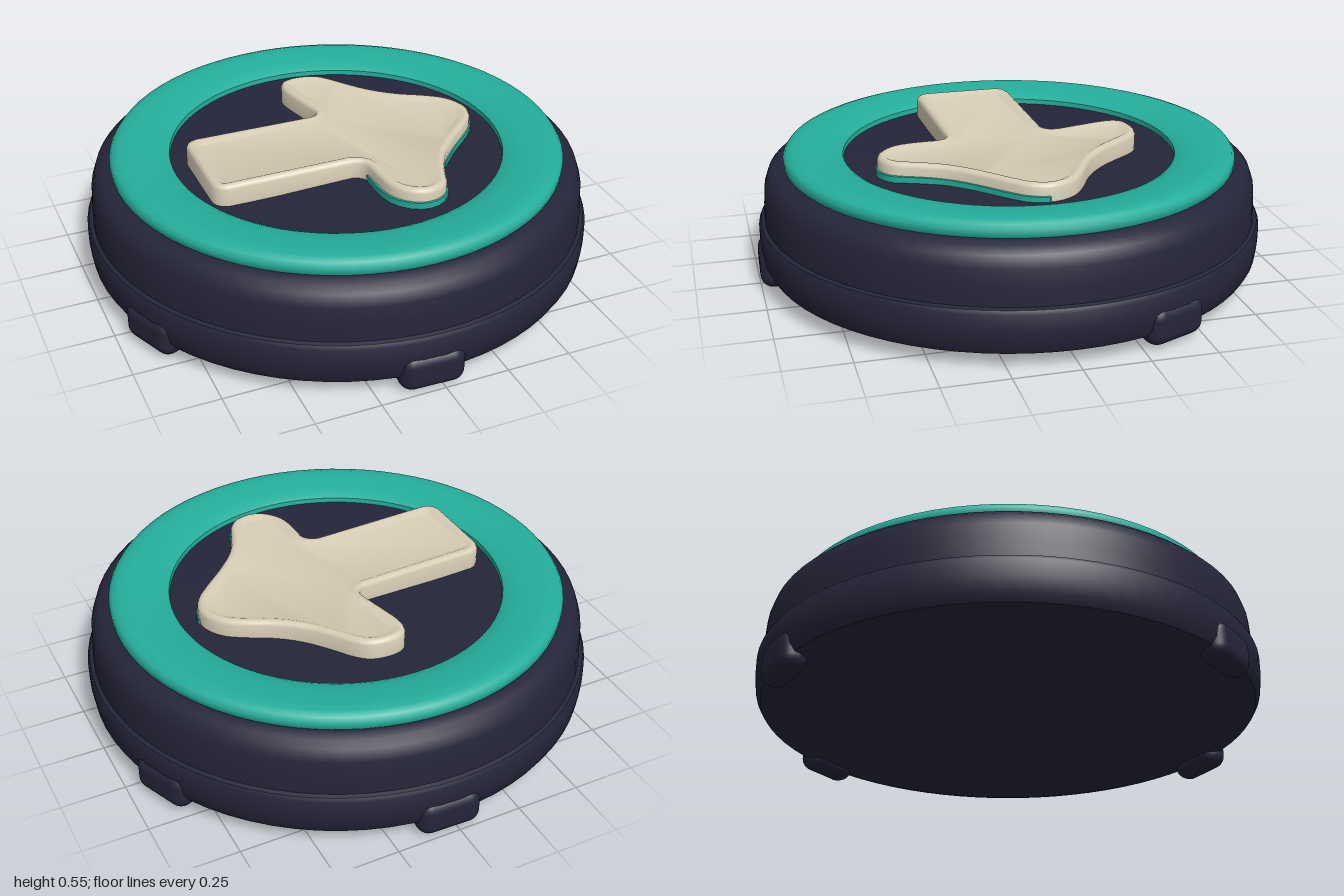
import * as THREE from 'three';
import { toCreasedNormals } from 'three/addons/utils/BufferGeometryUtils.js';
import { RoundedBoxGeometry } from 'three/addons/geometries/RoundedBoxGeometry.js';

const mat = (name, color) => new THREE.MeshStandardMaterial({ name, color });

// Lathe from [radius, height] pairs, listed bottom to top
function lathe(profile, material, name) {
  const geo = new THREE.LatheGeometry(profile.map(([r, y]) => new THREE.Vector2(r, y)), 72);
  const mesh = new THREE.Mesh(toCreasedNormals(geo, 0.7), material);
  mesh.name = name;
  return mesh;
}

// Cuts each corner of a closed outline by a limited amount
function softenCorners(points, limit) {
  const out = [];
  points.forEach((p, i) => {
    for (const q of [points.at(i - 1), points[(i + 1) % points.length]]) {
      const d = p.distanceTo(q);
      out.push(p.clone().lerp(q, Math.min(0.25 * d, limit) / d));
    }
  });
  return out;
}

// Moves an outline inward along its mitred normals
function inset(points, amount) {
  return points.map((p, i) => {
    const a = p.clone().sub(points.at(i - 1)).normalize();
    const b = points[(i + 1) % points.length].clone().sub(p).normalize();
    const n = new THREE.Vector2(-a.y - b.y, a.x + b.x).normalize();
    return p.clone().addScaledVector(n, amount);
  });
}

// Skins [inset, height] loops of an outline and caps the last loop
function slab(outline, levels, tilt) {
  const pos = [], idx = [], n = outline.length;
  let last;
  levels.forEach(([amount, y], k) => {
    last = inset(outline, amount);
    last.forEach((p) => pos.push(p.x, y - tilt * p.x, p.y));
    if (!k) return;
    for (let i = 0; i < n; i++) {
      const j = (i + 1) % n, a = (k - 1) * n, b = k * n;
      idx.push(a + i, b + i, a + j, a + j, b + i, b + j);
    }
  });
  const base = (levels.length - 1) * n;
  for (const [a, b, c] of THREE.ShapeUtils.triangulateShape(last, [])) {
    const up = last[b].clone().sub(last[a]).cross(last[c].clone().sub(last[a])) < 0;
    idx.push(base + a, base + (up ? b : c), base + (up ? c : b));
  }
  const geo = new THREE.BufferGeometry();
  geo.setAttribute('position', new THREE.Float32BufferAttribute(pos, 3));
  geo.setIndex(idx);
  return toCreasedNormals(geo, 0.75);
}

export function createModel() {
  const group = new THREE.Group();
  const navy = mat('navy', 0x25253a);
  const teal = mat('teal', 0x25ae9b);
  const cream = mat('cream', 0xd6ccb5);

  // Round body with a wider belt at the bottom and a flat top
  group.add(lathe([
    [0, 0.05], [0.93, 0.05], [0.965, 0.06], [0.982, 0.09], [0.99, 0.15], [0.99, 0.215],
    [0.982, 0.23], [0.967, 0.235], [0.965, 0.3], [0.96, 0.37], [0.945, 0.415],
    [0.92, 0.438], [0.88, 0.448], [0.7, 0.455], [0, 0.46],
  ], navy, 'body'));

  // Raised ring, sloping gently inward
  group.add(lathe([
    [0.87, 0.44], [0.882, 0.455], [0.884, 0.48], [0.872, 0.497], [0.845, 0.506],
    [0.8, 0.505], [0.72, 0.494], [0.67, 0.485], [0.652, 0.475], [0.65, 0.45],
  ], teal, 'ring'));

  // Arrow outline in x and z, pointing to +x
  const points = [
    [-0.585, -0.135], [0, -0.15], [-0.035, -0.29], [-0.065, -0.42], [-0.05, -0.48], [0, -0.505],
    [0.09, -0.5], [0.145, -0.46], [0.2, -0.38], [0.27, -0.29], [0.36, -0.215],
    [0.46, -0.165], [0.54, -0.11], [0.582, -0.02], [0.56, 0.065], [0.5, 0.13],
    [0.4, 0.22], [0.31, 0.32], [0.26, 0.43], [0.23, 0.515], [0.16, 0.552],
    [0.09, 0.54], [0.03, 0.48], [0.01, 0.4], [0.01, 0.245], [-0.585, 0.265],
  ].map(([x, z]) => new THREE.Vector2(x, z));
  const outline = softenCorners(softenCorners(points, 0.035), 0.015);

  // Arrow with a soft rim and a shallow dished top
  const arrow = new THREE.Mesh(slab(outline, [
    [0, 0.45], [0, 0.518], [0.005, 0.529], [0.015, 0.535], [0.028, 0.534], [0.05, 0.523],
  ], 0.02), cream);
  arrow.name = 'arrow';
  group.add(arrow);

  // Teal edge under the front half of the arrow head
  const headPoints = points.slice(13, 25);
  const edge = new THREE.Mesh(slab(softenCorners(headPoints, 0.02),
    [[-0.005, 0.45], [-0.005, 0.482], [0.002, 0.485]], 0.01), teal);
  edge.name = 'arrowHeadEdge';
  group.add(edge);

  // Four feet around the rim
  const footGeo = new RoundedBoxGeometry(0.25, 0.155, 0.11, 4, 0.05);
  [-0.04, 1.97, Math.PI - 0.03, 1.97 - Math.PI].forEach((angle, i) => {
    const foot = new THREE.Mesh(footGeo, navy);
    foot.name = 'foot' + (i + 1);
    foot.position.set(0.945 * Math.sin(angle), i % 2 ? 0.092 : 0.0775, 0.945 * Math.cos(angle));
    foot.rotation.y = angle;
    group.add(foot);
  });

  return group;
}
